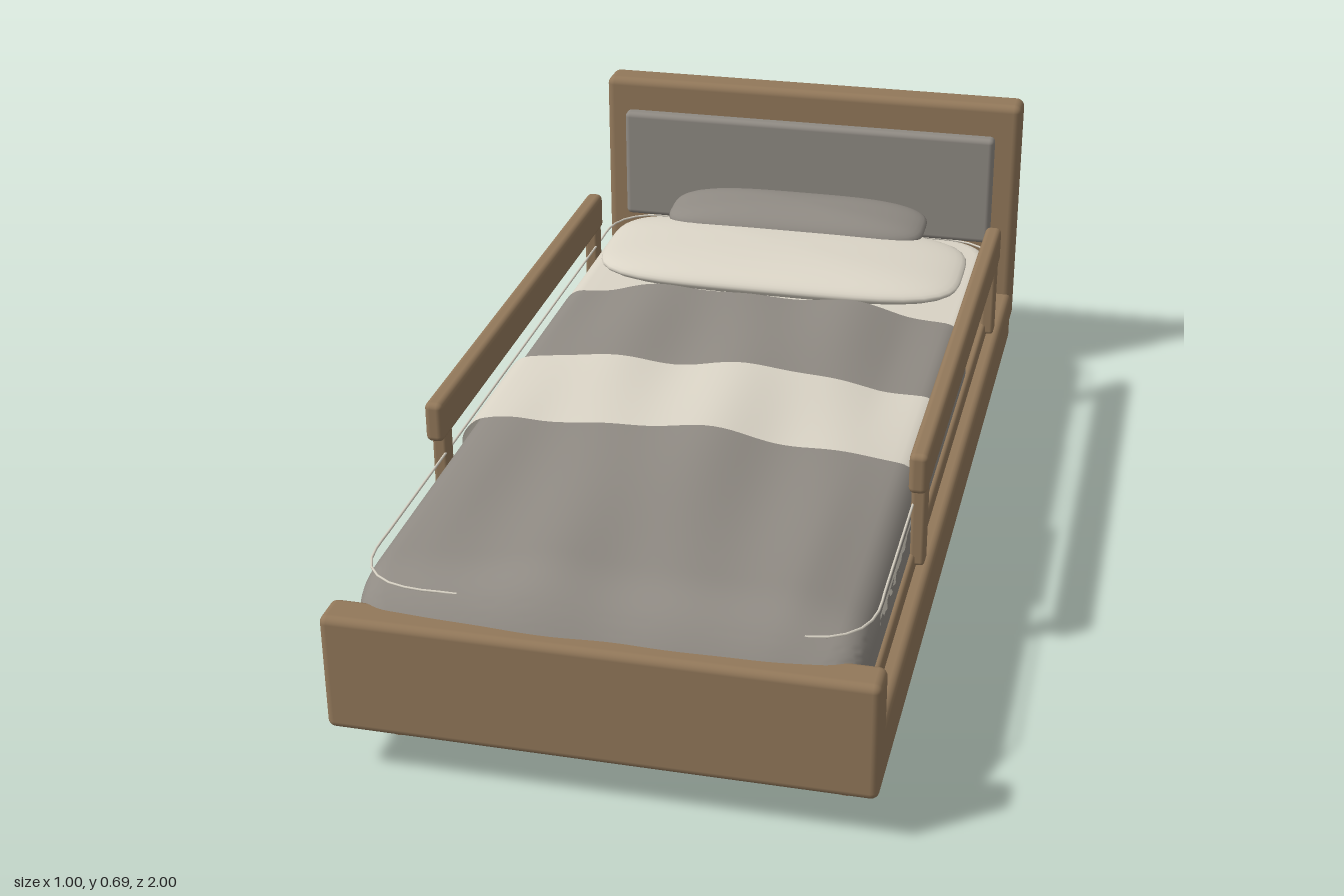
import * as THREE from 'three';
import { mergeVertices, toCreasedNormals } from 'three/addons/utils/BufferGeometryUtils.js';
import { RoundedBoxGeometry } from 'three/addons/geometries/RoundedBoxGeometry.js';

const material = (name, color, side = THREE.FrontSide) => {
  const m = new THREE.MeshStandardMaterial({ color, side });
  m.name = name;
  return m;
};

// Rounded rectangle outline, centred on (0, cy)
function roundedRect(hx, hy, r, cy = 0) {
  const s = new THREE.Shape();
  s.absarc(hx - r, cy + hy - r, r, 0, Math.PI / 2);
  s.absarc(-hx + r, cy + hy - r, r, Math.PI / 2, Math.PI);
  s.absarc(-hx + r, cy - hy + r, r, Math.PI, Math.PI * 1.5);
  s.absarc(hx - r, cy - hy + r, r, Math.PI * 1.5, Math.PI * 2);
  s.closePath();
  return s;
}

// Cushion: a sphere squared off in plan
function cushion(hx, hy, hz) {
  const g = new THREE.SphereGeometry(1, 56, 28);
  g.deleteAttribute('uv');
  g.deleteAttribute('normal');
  const p = g.attributes.position;
  for (let i = 0; i < p.count; i++) {
    const x = p.getX(i), y = p.getY(i), z = p.getZ(i);
    const r = Math.hypot(x, z), a = Math.atan2(z, x);
    const plan = (Math.abs(Math.cos(a)) ** 4 + Math.abs(Math.sin(a)) ** 4) ** -0.25;
    p.setXYZ(i, hx * r * plan * Math.cos(a), hy * y, hz * r * plan * Math.sin(a));
  }
  const merged = mergeVertices(g, 1e-5);
  merged.computeVertexNormals();
  return merged;
}

// Draped cloth: one cross-section per row along z, hanging down both sides
function drape({ z0, z1, hem, lift, rows, foot }) {
  const W = 0.46 + lift, R = 0.05, edge = 0.365 + lift;
  const section = [];
  for (let i = 0; i < 6; i++) section.push([-W, hem + (edge - R - hem) * i / 6]);
  for (let i = 0; i < 8; i++) {
    const a = i / 8 * Math.PI / 2;
    section.push([-W + R - R * Math.cos(a), edge - R + R * Math.sin(a)]);
  }
  for (let i = 0; i <= 24; i++) section.push([(-W + R) * (1 - i / 24), edge]);
  const half = section.length - 1;
  for (let i = half - 1; i >= 0; i--) section.push([-section[i][0], section[i][1]]);

  const pos = [], idx = [], n = section.length;
  for (let j = 0; j <= rows; j++) {
    const t = j / rows;
    // rows bunch up towards the rounded foot end
    const z = z0 + (z1 - z0) * (foot ? 1 - (1 - t) ** 1.8 : t);
    const k = foot ? Math.max(0, (z - (z1 - 0.17)) / 0.17) : 0;
    const narrow = 1 - 0.16 * (1 - Math.sqrt(Math.max(0, 1 - k ** 4)));
    const drop = 1 - 0.55 * k ** 3;
    for (const [x, y] of section) {
      const c = 1 - (x / W) ** 2;
      const top = THREE.MathUtils.smoothstep(y, edge - R, edge);
      const fold = 0.007 * Math.sin(x * 15 + z * 4) + 0.004 * Math.sin(x * 27 - z * 3 + 1);
      const yy = y + top * (0.036 * c + fold * Math.min(1, c * 2));
      pos.push(x * narrow, hem + (yy - hem) * drop, z);
    }
  }
  for (let j = 0; j < rows; j++) for (let i = 0; i < n - 1; i++) {
    const a = j * n + i, b = a + 1, c = a + n, d = c + 1;
    idx.push(a, c, b, b, c, d);
  }
  // close the foot end
  if (foot) {
    const last = rows * n;
    for (let i = 0; i < half; i++) {
      const a = last + i, b = a + 1, c = last + n - 1 - i, d = c - 1;
      idx.push(a, c, b, b, c, d);
    }
  }
  const g = new THREE.BufferGeometry();
  g.setAttribute('position', new THREE.Float32BufferAttribute(pos, 3));
  g.setIndex(idx);
  return toCreasedNormals(g, 1.1);
}

export function createModel() {
  const bed = new THREE.Group();
  bed.name = 'bed';
  const wood = material('wood', 0x92785a);
  const grey = material('grey fabric', 0x8f8a83);
  const greyCloth = material('grey blanket', 0x8f8a83, THREE.DoubleSide);
  const cream = material('cream linen', 0xdad4c6);
  const creamCloth = material('cream throw', 0xdad4c6, THREE.DoubleSide);

  const add = (name, geometry, mat, x = 0, y = 0, z = 0) => {
    const m = new THREE.Mesh(geometry, mat);
    m.name = name;
    m.position.set(x, y, z);
    bed.add(m);
    return m;
  };
  // Rounded box given by its limits
  const box = (name, mat, x0, x1, y0, y1, z0, z1, r) =>
    add(name, new RoundedBoxGeometry(x1 - x0, y1 - y0, z1 - z0, 3, r), mat,
      (x0 + x1) / 2, (y0 + y1) / 2, (z0 + z1) / 2);

  // Frame
  box('headboard', wood, -0.5, 0.5, 0.13, 0.69, -1, -0.92, 0.018);
  box('headboardPad', grey, -0.445, 0.445, 0.36, 0.62, -0.912, -0.875, 0.012);
  box('headboardPadMount', wood, -0.4, 0.4, 0.4, 0.58, -0.93, -0.9, 0.005);
  box('base', wood, -0.5, 0.5, 0.093, 0.215, -0.94, 0.99, 0.015);
  box('slatDeck', wood, -0.47, 0.47, 0.205, 0.25, -0.875, 0.94, 0.008);
  box('footboard', wood, -0.5, 0.5, 0.093, 0.325, 0.925, 1, 0.015);

  // Legs and guard rails
  for (const s of [-1, 1]) {
    for (const z of [-0.837, 0.845]) {
      add('leg', new THREE.CylinderGeometry(0.018, 0.021, 0.11, 20), wood, s * 0.42, 0.055, z);
    }
    const cx = s * 0.473;
    box('guardRail', wood, cx - 0.018, cx + 0.018, 0.393, 0.476, -0.705, 0.45, 0.012);
    for (const z of [-0.677, 0.403]) {
      box('railPost', wood, cx - 0.015, cx + 0.015, 0.225, 0.41, z - 0.02, z + 0.02, 0.008);
    }
  }

  // Mattress with piping
  const mattress = new THREE.ExtrudeGeometry(roundedRect(0.42, 0.865, 0.08, -0.015), {
    depth: 0.025, bevelEnabled: true, bevelThickness: 0.041, bevelSize: 0.04,
    bevelSegments: 8, curveSegments: 10,
  });
  mattress.rotateX(-Math.PI / 2);
  mattress.rotateY(Math.PI);
  add('mattress', toCreasedNormals(mattress, 0.8), cream, 0, 0.29, 0);
  const pipePath = new THREE.CatmullRomCurve3(
    roundedRect(0.462, 0.905, 0.11).getSpacedPoints(90).slice(0, -1)
      .map((p) => new THREE.Vector3(p.x, 0, p.y)), true);
  add('piping', new THREE.TubeGeometry(pipePath, 160, 0.0025, 6, true), cream, 0, 0.357, 0.015);

  // Bedding
  add('blanket', drape({ z0: -0.38, z1: 0.972, hem: 0.25, lift: 0, rows: 70, foot: true }), greyCloth);
  add('throw', drape({ z0: 0.008, z1: 0.308, hem: 0.305, lift: 0.008, rows: 24 }), creamCloth);

  // Pillows
  const large = add('largePillow', cushion(0.418, 0.042, 0.172), cream, 0, 0.387, -0.617);
  large.rotation.x = 0.06;
  const small = add('smallPillow', cushion(0.305, 0.048, 0.1), grey, 0, 0.423, -0.782);
  small.rotation.x = 0.08;

  return bed;
}
